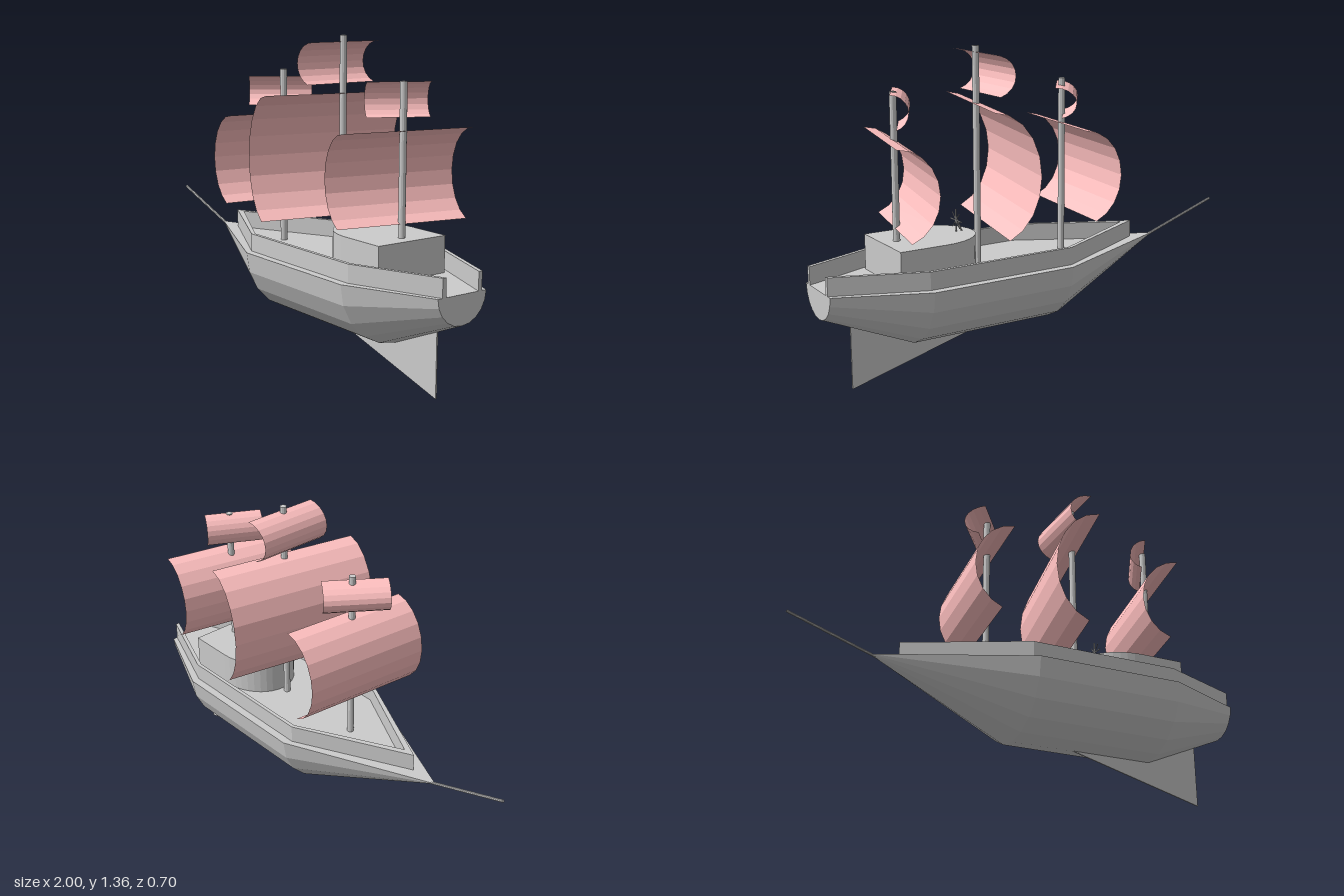
import * as THREE from 'three';

const grey = new THREE.MeshStandardMaterial({ color: 0xcccccc, flatShading: true, side: THREE.DoubleSide });
const cloth = new THREE.MeshStandardMaterial({ color: 0xffc0c0, flatShading: true, side: THREE.DoubleSide });

export function createModel() {
  const ship = new THREE.Group();
  ship.name = 'sailingShip';

  const add = (name, geometry, material = grey) => {
    const mesh = new THREE.Mesh(geometry, material);
    mesh.name = name;
    ship.add(mesh);
    return mesh;
  };
  // Round bar between two points
  const bar = (name, from, to, radius, sides = 10) => {
    const a = new THREE.Vector3(...from), b = new THREE.Vector3(...to);
    const mesh = add(name, new THREE.CylinderGeometry(radius, radius, a.distanceTo(b), sides));
    mesh.position.copy(a).add(b).multiplyScalar(0.5);
    mesh.quaternion.setFromUnitVectors(new THREE.Vector3(0, 1, 0), b.sub(a).normalize());
  };
  // Plan outline mirrored over the centreline, from one side's [x, z] points
  const mirrored = (side) => [...side, ...side.map(([x, z]) => [x, -z]).reverse()];
  const toShape = (points) => new THREE.Shape(points.map(([x, z]) => new THREE.Vector2(x, z)));
  const slab = (name, shape, bottom, top) => {
    const geometry = new THREE.ExtrudeGeometry(shape, { depth: top - bottom, bevelEnabled: false, curveSegments: 10 });
    add(name, geometry.rotateX(-Math.PI / 2).translate(0, bottom, 0));
  };

  // Hull: half a faceted body of revolution lying along x
  const DECK = 0.445;
  const profile = [[0, -0.65], [0.277, -0.02], [0.277, 0.63], [0.12, 1], [0, 1]];
  const hull = new THREE.LatheGeometry(profile.map(([r, x]) => new THREE.Vector2(r, x)), 10, -Math.PI / 2, Math.PI);
  hull.applyMatrix4(new THREE.Matrix4().makeBasis(
    new THREE.Vector3(0, 0, -1), new THREE.Vector3(1, 0, 0), new THREE.Vector3(0, -1, 0)));
  add('hull', hull.translate(0, DECK, 0));

  const deckShape = toShape(mirrored([[1, -0.12], [0.63, -0.277], [-0.02, -0.277], [-0.65, 0]]));
  add('deck', new THREE.ShapeGeometry(deckShape).rotateX(-Math.PI / 2).translate(0, DECK, 0));

  // Bulwark, open at the stern
  const bulwark = mirrored([
    [1, 0.08], [0.625, 0.226], [-0.03, 0.226], [-0.47, 0],
  ]);
  const rim = mirrored([[1, -0.098], [0.63, -0.242], [-0.035, -0.242], [-0.525, 0]]);
  slab('bulwark', toShape([...bulwark, ...rim]), DECK, 0.52);

  // Raised cabin with a rounded forward end
  const cabin = new THREE.Shape();
  cabin.moveTo(0.72, -0.168);
  cabin.lineTo(0.72, 0.168);
  cabin.lineTo(0.52, 0.168);
  cabin.absellipse(0.52, 0, 0.21, 0.168, Math.PI / 2, Math.PI * 1.5, false);
  slab('cabin', cabin, DECK, 0.595);

  // Keel fin under the stern
  const fin = toShape([[0.22, 0.18], [0.87, 0.005], [0.87, 0.32], [0.6, 0.25]]);
  add('keelFin', new THREE.ExtrudeGeometry(fin, { depth: 0.006, bevelEnabled: false }).translate(0, 0, -0.003));

  bar('bowsprit', [-0.6, 0.43, 0], [-0.998, 0.565, 0], 0.006, 8);

  // Masts
  for (const [name, x, top] of [['foreMast', -0.143, 1.2], ['mainMast', 0.28, 1.36], ['mizzenMast', 0.655, 1.2]]) {
    bar(name, [x, DECK, 0], [x, top, 0], 0.0145, 12);
  }

  // Sails: bellied elliptical arcs; position is the middle of the top edge's axis
  const sail = (name, x, y, z, width, belly, halfHeight, turn) => {
    const geometry = new THREE.CylinderGeometry(1, 1, width, 9, 1, true, Math.PI, Math.PI * 0.9);
    geometry.rotateX(Math.PI / 2).scale(belly, halfHeight, 1);
    const mesh = add(name, geometry, cloth);
    mesh.position.set(x, y, z);
    mesh.rotation.y = turn;
  };
  sail('foreSail', -0.104, 0.818, -0.005, 0.565, 0.169, 0.197, -0.11);
  sail('foreTopsail', -0.131, 1.105, 0.025, 0.275, 0.092, 0.066, -0.62);
  sail('mainSail', 0.305, 0.867, 0.017, 0.67, 0.194, 0.263, -0.21);
  sail('mainTopsail', 0.297, 1.248, -0.003, 0.337, 0.105, 0.087, 0);
  sail('mizzenSail', 0.714, 0.83, 0.011, 0.563, 0.167, 0.189, -0.21);
  sail('mizzenTopsail', 0.655, 1.128, 0.017, 0.25, 0.072, 0.071, -0.49);

  // Small steering stand on the cabin roof
  bar('steeringPost', [0.382, 0.595, 0], [0.382, 0.69, 0], 0.003, 6);
  bar('steeringBar', [0.382, 0.643, -0.045], [0.382, 0.643, 0.045], 0.003, 6);
  bar('steeringBrace', [0.355, 0.593, 0], [0.382, 0.66, 0], 0.003, 6);
  for (const s of [-1, 1]) {
    bar('steeringSpoke', [0.382, 0.612, -0.03 * s], [0.382, 0.674, 0.03 * s], 0.002, 6);
  }

  return ship;
}
